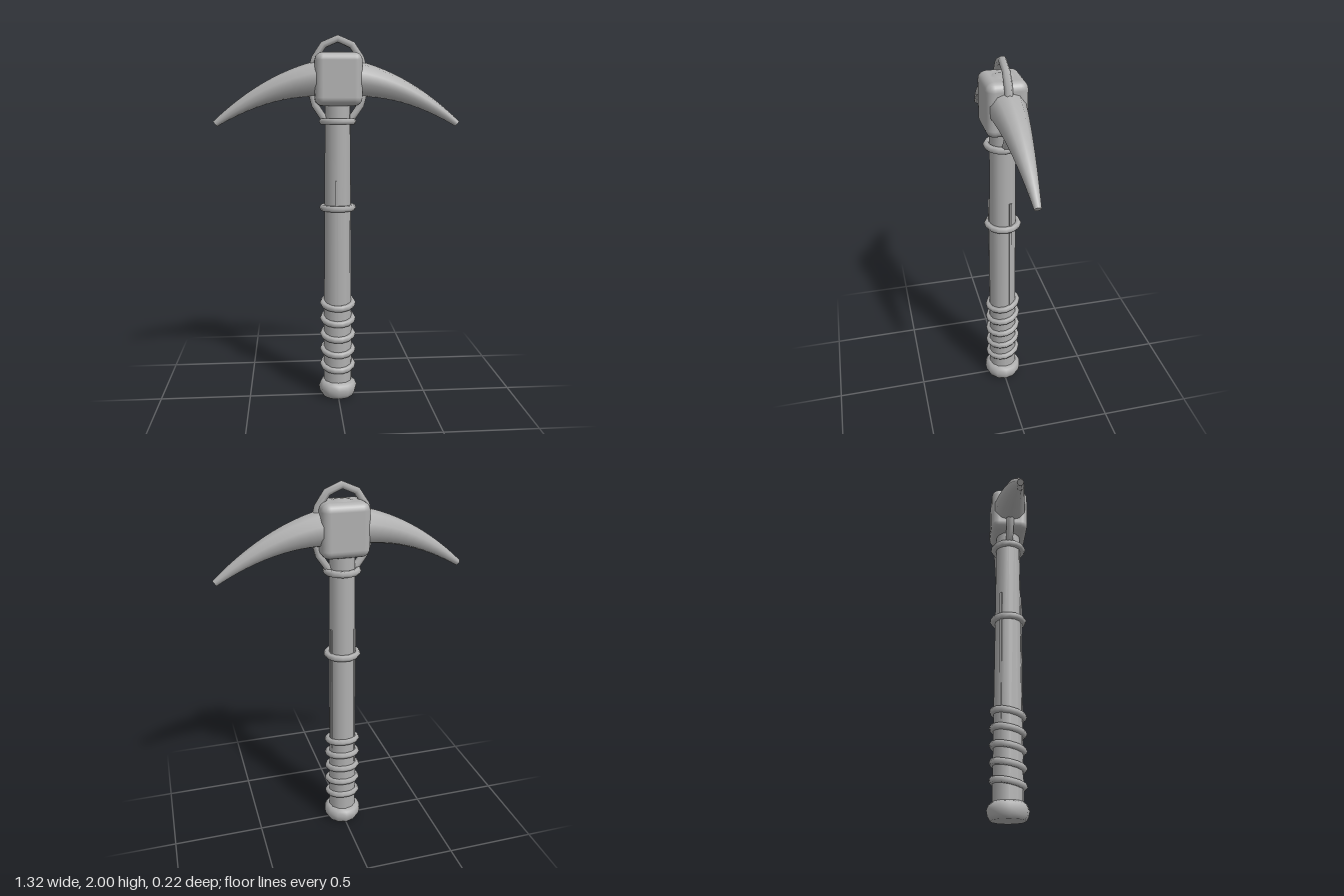
import * as THREE from 'three';
import { RoundedBoxGeometry } from 'three/addons/geometries/RoundedBoxGeometry.js';

export function createModel() {
  const model = new THREE.Group();
  model.name = 'pickaxe';
  const grey = new THREE.MeshStandardMaterial({ color: 0xb0b0b0 });
  grey.name = 'plain grey';

  const add = (name, geometry, x = 0, y = 0, z = 0) => {
    const mesh = new THREE.Mesh(geometry, grey);
    mesh.name = name;
    mesh.position.set(x, y, z);
    model.add(mesh);
    return mesh;
  };
  const lathe = (points, sides) =>
    new THREE.LatheGeometry(points.map(([r, y]) => new THREE.Vector2(r, y)), sides);

  // Tapering handle
  add('handle', new THREE.CylinderGeometry(0.067, 0.08, 1.75, 12), 0, 0.925, 0);

  // Rounded knob at the foot of the handle
  add('pommel', lathe([[0, 0], [0.09, 0.004], [0.102, 0.025], [0.108, 0.055], [0.098, 0.08], [0.08, 0.095], [0, 0.096]], 12));

  // Raised grain strips, evenly spaced round the shaft
  for (let i = 0; i < 3; i++) {
    const a = THREE.MathUtils.degToRad(98 + i * 120);
    const strip = add('grainStrip', new THREE.BoxGeometry(0.014, 0.83, 0.012),
      0.071 * Math.cos(a), 0.82, 0.071 * Math.sin(a));
    strip.rotation.y = Math.PI / 2 - a;
  }

  // Level bands and tilted grip wraps
  const ring = (name, y, tilt) => {
    const geometry = new THREE.TorusGeometry(0.083, 0.018, 6, 14);
    geometry.rotateX(Math.PI / 2 + tilt);
    add(name, geometry, 0, y, 0);
  };
  [1.55, 1.085].forEach((y) => ring('band', y, 0));
  for (let i = 0; i < 5; i++) ring('gripWrap', 0.185 + i * 0.09, 0.2);

  // Head block with a shallow dome on top
  add('headBlock', new RoundedBoxGeometry(0.25, 0.275, 0.208, 3, 0.042), 0, 1.768, 0);
  add('headDome', lathe([[0.08, 0], [0.06, 0.012], [0.035, 0.019], [0, 0.022]], 10), 0, 1.892, 0);

  // Horns: cross-section rings swept along a drooping curve
  const sides = 10, steps = 14, length = 0.65;
  const hornGeometry = (dir) => {
    const positions = [], index = [];
    for (let i = 0; i <= steps; i++) {
      const x = (length * i) / steps;
      const slope = Math.atan(2 * 0.57 * x);
      const r = 0.108 - 0.091 * (x / length);
      for (let j = 0; j < sides; j++) {
        const a = (j / sides) * Math.PI * 2;
        const up = Math.cos(a) * r;
        positions.push(dir * (x + up * Math.sin(slope)),
          1.778 - 0.57 * x * x + up * Math.cos(slope), Math.sin(a) * r);
      }
    }
    const quad = (a, b, c, d) => (dir > 0
      ? index.push(a, b, c, a, c, d) : index.push(a, c, b, a, d, c));
    for (let i = 0; i < steps; i++) {
      for (let j = 0; j < sides; j++) {
        const k = (j + 1) % sides, n = i * sides;
        quad(n + j, n + sides + j, n + sides + k, n + k);
      }
    }
    // Blunt tip, with its own corners so the edge stays sharp
    const start = positions.length / 3;
    positions.push(...positions.slice(-sides * 3));
    for (let j = 1; j < sides - 1; j++) {
      if (dir > 0) index.push(start, start + j + 1, start + j);
      else index.push(start, start + j, start + j + 1);
    }
    const geometry = new THREE.BufferGeometry();
    geometry.setAttribute('position', new THREE.Float32BufferAttribute(positions, 3));
    geometry.setIndex(index);
    // Rings run from top towards +z, so reverse every face to point outwards
    geometry.computeVertexNormals();
    return orientOutward(geometry);
  };

  // Flip the winding if the enclosed volume comes out negative
  const orientOutward = (geometry) => {
    const p = geometry.attributes.position, idx = geometry.index.array;
    const [a, b, c] = [0, 1, 2].map(() => new THREE.Vector3());
    const centre = new THREE.Vector3(0, 1.778, 0);
    const flip = [];
    for (let i = 0; i < idx.length; i += 3) {
      [a, b, c].forEach((v, k) => v.fromBufferAttribute(p, idx[i + k]));
      const mid = a.clone().add(b).add(c).divideScalar(3);
      const normal = b.clone().sub(a).cross(c.clone().sub(a));
      // Compare with the direction away from the local centreline
      const s = Math.sign(mid.x), tip = i >= sides * steps * 6;
      const away = tip ? new THREE.Vector3(s, -0.7, 0)
        : mid.clone().sub(new THREE.Vector3(mid.x, centre.y - 0.57 * mid.x * mid.x, 0));
      if (normal.dot(away) < 0) flip.push(i);
    }
    flip.forEach((i) => { [idx[i + 1], idx[i + 2]] = [idx[i + 2], idx[i + 1]]; });
    geometry.computeVertexNormals();
    return geometry;
  };
  add('leftHorn', hornGeometry(1));
  add('rightHorn', hornGeometry(-1));

  // Tall oval binding loop passing over the head
  const loopPoints = [];
  for (let i = 0; i < 12; i++) {
    const a = (i / 12) * Math.PI * 2;
    loopPoints.push(new THREE.Vector3(Math.sin(a) * 0.146, 1.757 + Math.cos(a) * 0.222, 0));
  }
  const loop = new THREE.CatmullRomCurve3(loopPoints, true);
  add('bindingLoop', new THREE.TubeGeometry(loop, 14, 0.021, 6, true));

  return model;
}
